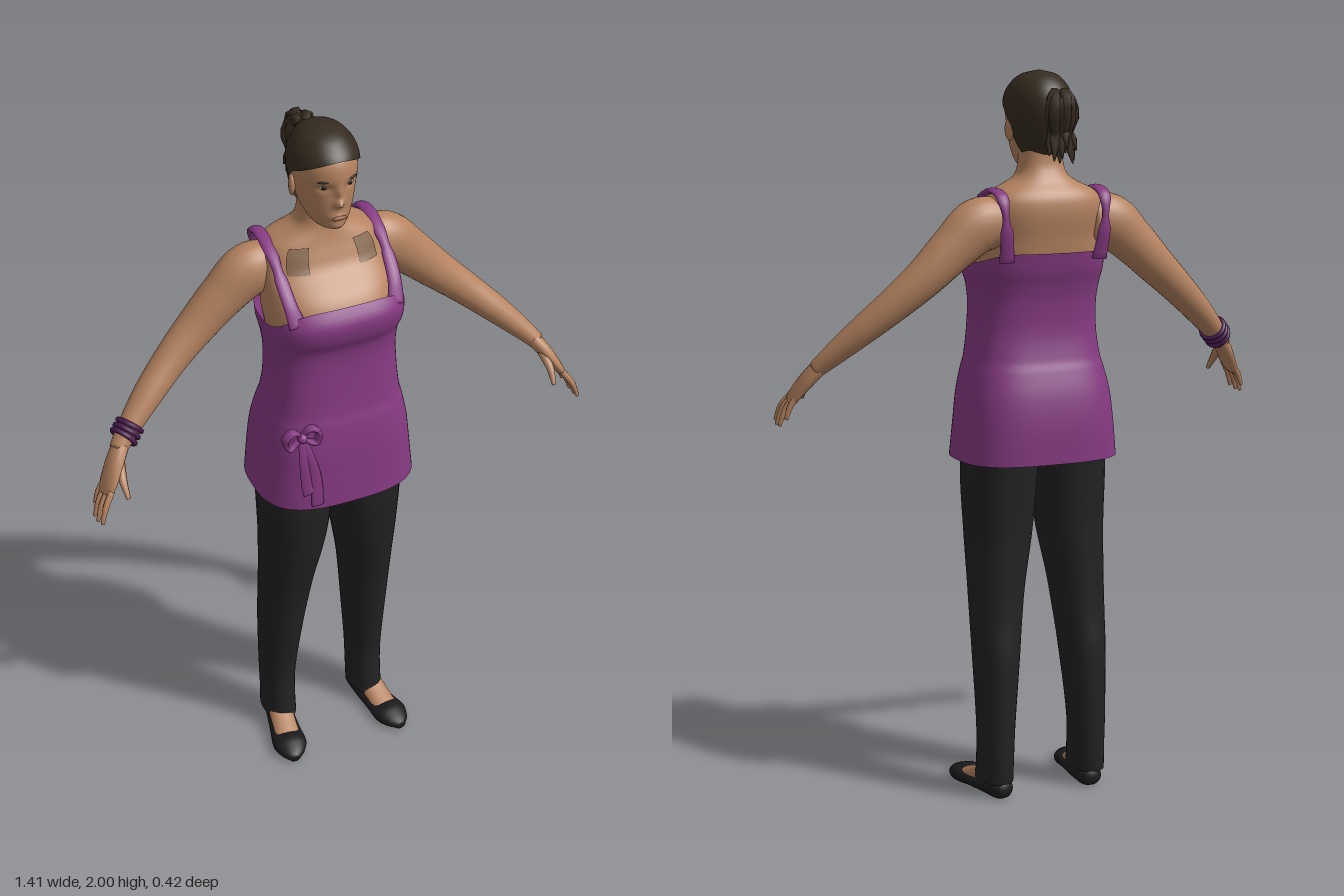
import * as THREE from 'three';

const mat = (name, color, side = THREE.FrontSide) => {
  const m = new THREE.MeshStandardMaterial({ color, side });
  m.name = name;
  return m;
};
const skin = mat('skin', 0xb58360);
const shadeSkin = mat('collar brown', 0x86664a, THREE.DoubleSide);
const purple = mat('tunic purple', 0x863a82, THREE.DoubleSide);
const darkPurple = mat('bracelet purple', 0x4a1c50);
const black = mat('trouser black', 0x222222, THREE.DoubleSide);
const shoeBlack = mat('shoe black', 0x1a1a1c);
const hairBrown = mat('hair brown', 0x352b1f, THREE.DoubleSide);
const eyeWhite = mat('eye white', 0xb9a698);
const lipRose = mat('lip rose', 0xa06753);

// Smooth grid surface; u runs around, v along
function grid(fn, nu, nv, closed = true) {
  const pos = [], idx = [], cols = closed ? nu : nu + 1;
  for (let j = 0; j <= nv; j++)
    for (let i = 0; i < cols; i++) pos.push(...fn(i / nu, j / nv, j));
  for (let j = 0; j < nv; j++)
    for (let i = 0; i < nu; i++) {
      const a = j * cols + i, b = j * cols + (i + 1) % cols;
      idx.push(a, b, b + cols, a, b + cols, a + cols);
    }
  const g = new THREE.BufferGeometry();
  g.setAttribute('position', new THREE.Float32BufferAttribute(pos, 3));
  g.setIndex(idx);
  g.computeVertexNormals();
  return g;
}

// Smooth interpolation of table rows keyed by their first column
function sample(rows, y) {
  let i = 0;
  while (i < rows.length - 2 && y > rows[i + 1][0]) i++;
  const a = rows[i], b = rows[i + 1], p = rows[i - 1] ?? a, q = rows[i + 2] ?? b;
  const h = b[0] - a[0], t = (y - a[0]) / h, t2 = t * t, t3 = t2 * t;
  return a.map((_, k) => {
    const m0 = (b[k] - p[k]) / (b[0] - p[0]) * h, m1 = (q[k] - a[k]) / (q[0] - a[0]) * h;
    return (2 * t3 - 3 * t2 + 1) * a[k] + (t3 - 2 * t2 + t) * m0 + (3 * t2 - 2 * t3) * b[k] + (t3 - t2) * m1;
  });
}

// Point on an upright body; rows are [y, front z, back z, half width, centre x]
function ringPoint(rows, y, angle, n = 2, off = 0) {
  const [, f, b, rx, xc = 0] = sample(rows, y);
  const s = Math.sin(angle), c = Math.cos(angle);
  const pw = v => Math.sign(v) * Math.abs(v) ** (2 / n);
  return [xc + pw(s) * (Math.max(rx, 0) + off), y, (f + b) / 2 + pw(c) * (Math.max((f - b) / 2, 0) + off)];
}
const loft = (rows, n, nu = 40, nv = 40) => {
  const lo = rows[0][0], hi = rows.at(-1)[0];
  return grid((u, v) => ringPoint(rows, lo + (hi - lo) * v, u * Math.PI * 2, n), nu, nv);
};

// Capped limb along a path; rows are [x, y, z, radius along axis, radius across]
function sweep(rows, axis = [0, 0, 1], nu = 14, nv = 22) {
  const path = new THREE.CatmullRomCurve3(rows.map(r => new THREE.Vector3(r[0], r[1], r[2])));
  const size = new THREE.CatmullRomCurve3(rows.map(r => new THREE.Vector3(r[3], r[4], 0)));
  return grid((u, v, j) => {
    const t = Math.min(1, Math.max(0, (j - 1) / (nv - 2)));
    const p = path.getPoint(t), d = path.getTangent(t), s = size.getPoint(t);
    const k = j === 0 || j === nv ? 0 : 1;
    const e1 = new THREE.Vector3(...axis).addScaledVector(d, -d.dot(new THREE.Vector3(...axis))).normalize();
    const e2 = d.clone().cross(e1);
    p.addScaledVector(e1, Math.cos(u * Math.PI * 2) * s.x * k);
    return p.addScaledVector(e2, Math.sin(u * Math.PI * 2) * s.y * k).toArray();
  }, nu, nv);
}

const HEAD = [
  [1.738, 0.06, 0.0, 0.012], [1.746, 0.084, -0.03, 0.036], [1.765, 0.094, -0.055, 0.052], [1.79, 0.097, -0.075, 0.064],
  [1.82, 0.099, -0.095, 0.073], [1.86, 0.1, -0.108, 0.081], [1.9, 0.106, -0.114, 0.084],
  [1.94, 0.096, -0.106, 0.078], [1.97, 0.066, -0.082, 0.06], [1.986, 0.034, -0.052, 0.037], [1.993, -0.008, -0.012, 0.002]];
const TORSO = [
  [1.4, 0.145, -0.08, 0.158], [1.5, 0.17, -0.112, 0.174], [1.56, 0.145, -0.12, 0.17], [1.62, 0.08, -0.128, 0.167],
  [1.66, 0.058, -0.125, 0.16], [1.685, 0.047, -0.113, 0.14], [1.7, 0.042, -0.1, 0.108], [1.72, 0.036, -0.088, 0.074],
  [1.75, 0.032, -0.076, 0.061], [1.81, 0.03, -0.072, 0.057]];
const TUNIC = [
  [0.95, 0.205, -0.14, 0.225], [1.05, 0.2, -0.14, 0.215], [1.13, 0.195, -0.13, 0.206], [1.2, 0.185, -0.11, 0.191],
  [1.225, 0.178, -0.1, 0.184], [1.3, 0.17, -0.087, 0.175], [1.38, 0.165, -0.09, 0.173], [1.43, 0.17, -0.1, 0.179],
  [1.47, 0.188, -0.113, 0.188], [1.52, 0.193, -0.123, 0.188], [1.57, 0.162, -0.13, 0.18]];
const LEG = [
  [0.045, 0.055, -0.09, 0.048, 0.14], [0.1, 0.048, -0.094, 0.047, 0.139], [0.2, 0.042, -0.095, 0.05, 0.138],
  [0.4, 0.07, -0.095, 0.062, 0.131], [0.5, 0.085, -0.086, 0.069, 0.126], [0.6, 0.105, -0.083, 0.076, 0.12],
  [0.75, 0.135, -0.083, 0.091, 0.108], [0.9, 0.15, -0.09, 0.101, 0.103], [1.05, 0.14, -0.1, 0.1, 0.1]];
const ARM = [
  [0.13, 1.6, -0.045, 0.055, 0.066], [0.19, 1.595, -0.045, 0.062, 0.074], [0.26, 1.54, -0.045, 0.056, 0.064],
  [0.34, 1.465, -0.04, 0.05, 0.054], [0.42, 1.395, -0.022, 0.045, 0.046], [0.5, 1.325, 0.01, 0.041, 0.039],
  [0.57, 1.26, 0.045, 0.031, 0.03], [0.61, 1.22, 0.07, 0.025, 0.023]];
// Face relief: [x, y, spread x, spread y, height]
const RELIEF = [
  [0, 1.83, 0.011, 0.011, 0.023], [0, 1.86, 0.009, 0.02, 0.012], [0, 1.787, 0.02, 0.008, 0.008], [0, 1.758, 0.02, 0.011, 0.007],
  [0.036, 1.873, 0.016, 0.01, -0.008], [-0.036, 1.873, 0.016, 0.01, -0.008]];
function facePoint(y, angle) {
  const p = ringPoint(HEAD, y, angle);
  if (Math.cos(angle) > 0)
    for (const [x, h, sx, sy, a] of RELIEF) p[2] += a * Math.exp(-(((p[0] - x) / sx) ** 2) - ((y - h) / sy) ** 2);
  return p;
}

export function createModel() {
  const root = new THREE.Group();
  const add = (name, geometry, material, parent = root) => {
    const m = new THREE.Mesh(geometry, material);
    m.name = name;
    parent.add(m);
    return m;
  };
  const ball = (name, material, p, s, turn = 0) => {
    const m = add(name, new THREE.SphereGeometry(1, 16, 10), material);
    m.position.set(...p);
    m.scale.set(...s);
    m.rotation.y = turn;
  };
  const mirror = (rows, s) => rows.map(([x, ...r]) => [x * s, ...r]);

  // Head, neck and chest
  add('head', grid((u, v) => facePoint(1.738 + 0.255 * Math.sin(v * Math.PI / 2), u * Math.PI * 2), 80, 70), skin);
  add('neckAndChest', loft(TORSO, 2.5, 48, 44), skin);
  const onFace = (x, y) => {
    const a = Math.asin(x / sample(HEAD, y)[3]);
    return [facePoint(y, a), a * 0.7];
  };
  ball('lips', lipRose, onFace(0, 1.787)[0], [0.021, 0.006, 0.004]);
  for (const s of [-1, 1]) {
    const [e, turn] = onFace(s * 0.036, 1.873), [b, bTurn] = onFace(s * 0.038, 1.893);
    ball('eye', eyeWhite, e, [0.013, 0.0055, 0.004], turn);
    ball('iris', shoeBlack, [e[0], e[1], e[2] + 0.002], [0.007, 0.0055, 0.004], turn);
    ball('eyebrow', hairBrown, b, [0.017, 0.003, 0.003], bTurn);
    ball('ear', skin, [s * 0.083, 1.845, -0.008], [0.009, 0.031, 0.019], s * 0.3);
  }

  // Hair cap down to the hairline, then the curly ponytail
  const hairline = [[-1, 1.775], [-0.5, 1.785], [-0.2, 1.83], [0.05, 1.885], [0.5, 1.916], [1, 1.945]];
  add('hairCap', grid((u, v) => {
    const a = u * Math.PI * 2, low = sample(hairline, Math.cos(a))[1];
    const p = ringPoint(HEAD, low + (1.993 - low) * Math.sin(v * Math.PI / 2), a, 2, 0.007 * Math.cos(v * Math.PI / 2));
    p[1] += 0.007 * v;
    return p;
  }, 64, 30), hairBrown);
  const tie = add('hairTie', new THREE.TorusGeometry(0.018, 0.009, 8, 16), hairBrown);
  tie.position.set(0, 1.925, -0.122);
  const tail = new THREE.Group();
  tail.name = 'ponytail';
  root.add(tail);
  for (let i = 0; i < 14; i++) {
    const a = i * 2.4, r = 0.3 + 0.7 * ((i * 5) % 14) / 14;
    const x = Math.cos(a) * 0.034 * r, z = -0.168 + Math.sin(a) * 0.024 * r, end = 1.775 + 0.045 * ((i * 3) % 7) / 7;
    add('curl', sweep([
      [0, 1.925, -0.115, 0.01, 0.01], [x * 0.8, 1.937 + 0.008 * Math.sin(i), z, 0.015, 0.013],
      [x * 1.3, 1.885, z - 0.008, 0.016, 0.014], [x * 0.8, 1.84, z + 0.006, 0.015, 0.013],
      [x * 1.25, end + 0.02, z - 0.004, 0.011, 0.01], [x * 1.5, end - 0.012, z - 0.014, 0.002, 0.002]], [1, 0, 0], 6, 14), hairBrown, tail);
  }

  // Tunic with a square neckline, straps and a side bow
  add('tunic', grid((u, v) => {
    const a = u * Math.PI * 2, top = 1.54 + 0.02 * Math.cos(a) - 0.045 * Math.sin(a) ** 4;
    return ringPoint(TUNIC, 0.95 + (top - 0.95) * v, a, 2.9);
  }, 64, 60), purple);
  for (const s of [-1, 1])
    add('strap', sweep(mirror([
      [0.137, 1.525, 0.155, 0.024, 0.008], [0.146, 1.575, 0.125, 0.019, 0.008], [0.15, 1.625, 0.075, 0.018, 0.008],
      [0.15, 1.67, 0.01, 0.018, 0.008], [0.15, 1.687, -0.06, 0.018, 0.008], [0.148, 1.668, -0.112, 0.018, 0.008],
      [0.143, 1.59, -0.126, 0.018, 0.008], [0.135, 1.5, -0.108, 0.022, 0.008]], s), [1, 0, 0], 12, 40), purple);
  const bow = new THREE.Group();
  bow.name = 'bow';
  bow.position.set(-0.145, 1.2, 0.186);
  root.add(bow);
  const ribbon = (name, rows) => add(name, sweep(rows, [0, 0, 1], 8, 18), purple, bow);
  for (const s of [-1, 1]) {
    ribbon('bowLoop', [[0, 0, 0, 0.008, 0.006], [s * 0.025, 0.025, 0.008, 0.016, 0.007], [s * 0.048, 0.008, 0.008, 0.018, 0.007],
      [s * 0.038, -0.025, 0.008, 0.016, 0.007], [0, -0.004, 0.002, 0.008, 0.006]]);
    ribbon('bowTail', [[0, 0, 0.004, 0.005, 0.01], [0.012 + s * 0.01, -0.07, 0.014, 0.004, 0.013],
      [0.024 + s * 0.014, -0.15, 0.014, 0.004, 0.016], [0.03 + s * 0.012, s > 0 ? -0.235 : -0.19, 0.014, 0.004, 0.018]]);
  }
  add('bowKnot', new THREE.SphereGeometry(0.014, 12, 8), purple, bow).position.z = 0.01;

  for (const s of [-1, 1]) {
    // Collar patch beside the neck
    add('collarPatch', grid((u, v) =>
      ringPoint(TORSO, 1.62 + 0.062 * v, s * (0.33 + 0.42 * u), 2.5, 0.004), 8, 8, false), shadeSkin);

    // Arm and hand
    add('arm', sweep(mirror(ARM, s), [0, 0, 1], 24, 44), skin);
    add('palm', sweep(mirror([
      [0.598, 1.232, 0.063, 0.025, 0.022], [0.63, 1.19, 0.09, 0.036, 0.019], [0.655, 1.152, 0.112, 0.039, 0.014],
      [0.668, 1.13, 0.121, 0.034, 0.01]], s)), skin);
    for (let i = 0; i < 4; i++) {
      const o = -0.028 + i * 0.019, long = i === 0 ? 0.75 : i === 3 ? 0.9 : 1;
      add('finger', sweep(mirror([
        [0.657, 1.148, 0.114 + o, 0.009, 0.009], [0.657 + 0.027 * long, 1.148 - 0.038 * long, 0.126 + o * 1.2, 0.0085, 0.0085],
        [0.657 + 0.043 * long, 1.148 - 0.083 * long, 0.131 + o * 1.4, 0.005, 0.005]], s), [0, 0, 1], 8, 10), skin);
    }
    add('thumb', sweep(mirror([
      [0.615, 1.2, 0.095, 0.014, 0.014], [0.622, 1.165, 0.138, 0.011, 0.011], [0.62, 1.13, 0.168, 0.006, 0.006]], s), [1, 0, 0], 8, 10), skin);

    // Trouser leg, foot and flat shoe
    add('trouserLeg', loft(LEG.map(([y, f, b, w, x]) => [y, f, b, w, x * s]), 2.2, 32, 50), black);
    add('foot', sweep(mirror([
      [0.14, 0.11, -0.03, 0.032, 0.034], [0.142, 0.07, -0.015, 0.033, 0.036], [0.15, 0.045, 0.04, 0.036, 0.026],
      [0.16, 0.026, 0.11, 0.036, 0.016]], s), [1, 0, 0]), skin);
    const shoe = sweep(mirror([
      [0.132, 0.026, -0.084, 0.018, 0.018], [0.135, 0.024, -0.06, 0.036, 0.028], [0.142, 0.02, 0, 0.04, 0.024],
      [0.154, 0.018, 0.07, 0.045, 0.022], [0.163, 0.018, 0.125, 0.05, 0.028], [0.169, 0.016, 0.165, 0.036, 0.019],
      [0.172, 0.013, 0.188, 0.014, 0.011]], s), [1, 0, 0], 24, 30);
    const p = shoe.attributes.position;
    for (let i = 0; i < p.count; i++) p.setY(i, Math.max(0, p.getY(i)));
    shoe.computeVertexNormals();
    add('shoe', shoe, shoeBlack);
  }

  // Bracelets on the right wrist
  for (let i = 0; i < 3; i++) {
    const ring = add('bracelet', new THREE.TorusGeometry(0.034, 0.007, 8, 24), darkPurple);
    ring.position.set(-0.565 - i * 0.011, 1.265 - i * 0.011, 0.042 + i * 0.006);
    ring.quaternion.setFromUnitVectors(new THREE.Vector3(0, 0, 1), new THREE.Vector3(-0.66, -0.62 + i * 0.08, 0.4).normalize());
  }
  return root;
}
